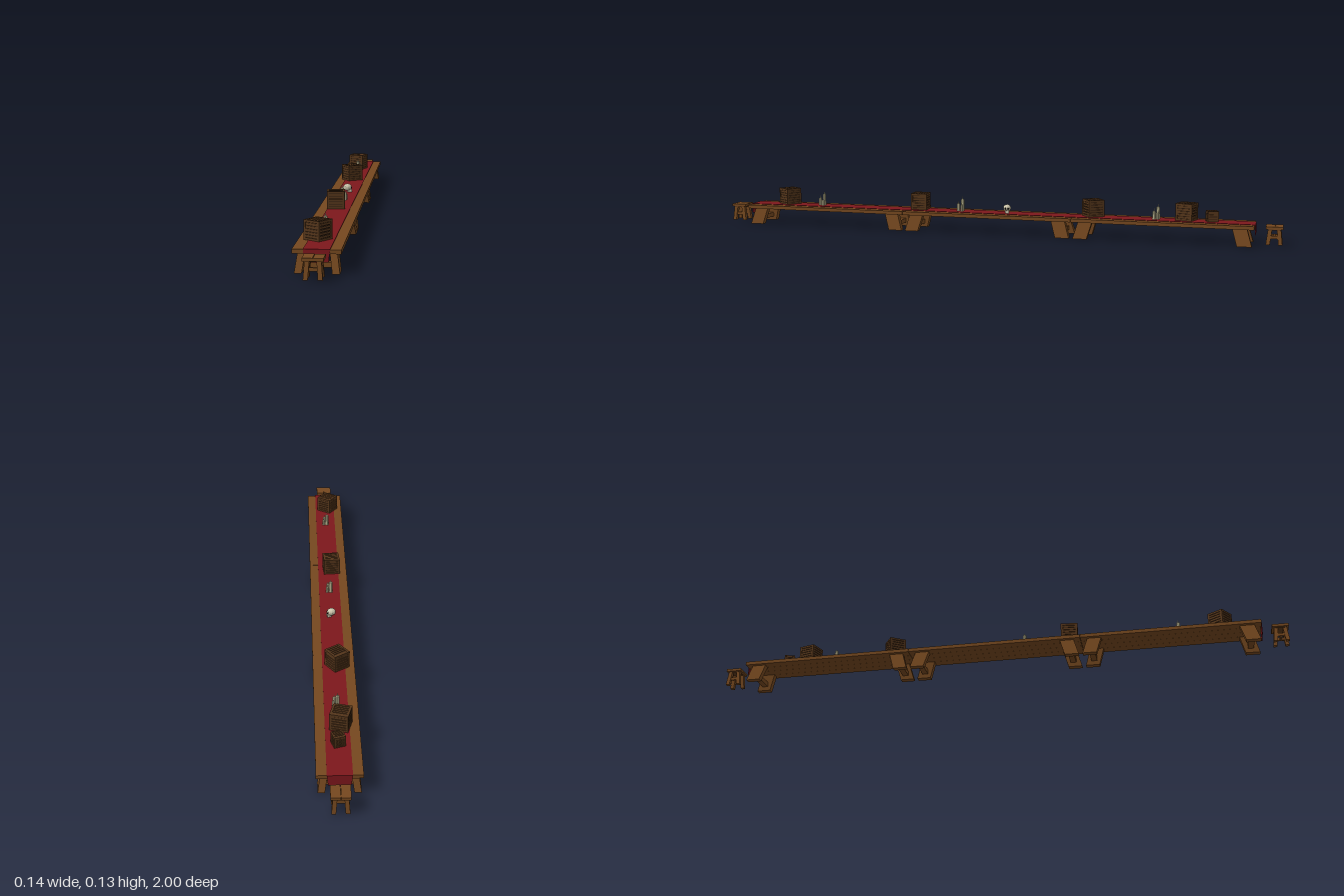
import * as THREE from 'three';

const mat = (color) => new THREE.MeshStandardMaterial({ color, flatShading: true });
const WOOD = mat(0x75481f), DARK = mat(0x5a3719), CRATE = mat(0x54351a), INNER = mat(0x2e1c0e);
const CLOTH = mat(0x7d171c), WAX = mat(0xd9d2a8), BONE = mat(0xcfc8ae), BLACK = mat(0x1c1712);

const TOP = 0.069; // height of the table surface

function add(parent, name, geometry, material, x = 0, y = 0, z = 0) {
  const mesh = new THREE.Mesh(geometry, material);
  mesh.name = name;
  mesh.position.set(x, y, z);
  parent.add(mesh);
  return mesh;
}

const box = (parent, name, material, w, h, d, x, y, z) =>
  add(parent, name, new THREE.BoxGeometry(w, h, d), material, x, y, z);

function group(parent, name, x = 0, y = 0, z = 0, turn = 0) {
  const g = new THREE.Group();
  g.name = name;
  g.position.set(x, y, z);
  g.rotation.y = turn;
  parent.add(g);
  return g;
}

// Post with level ends whose foot is shifted sideways
function splayedLeg(parent, w, h, d, x, z, dx, dz, y0 = 0) {
  const geo = new THREE.BoxGeometry(w, h, d);
  const p = geo.attributes.position;
  for (let i = 0; i < p.count; i++) {
    if (p.getY(i) < 0) p.setXYZ(i, p.getX(i) + dx, p.getY(i), p.getZ(i) + dz);
  }
  geo.computeVertexNormals();
  add(parent, 'leg', geo, WOOD, x, y0 + h / 2, z);
}

function table(parent, z) {
  const g = group(parent, 'table', 0, 0, z);
  // Planked top
  box(g, 'tabletop', DARK, 0.132, 0.010, 0.604, 0, 0.063, 0);
  for (const x of [-0.051, -0.017, 0.017, 0.051]) {
    box(g, 'plank', WOOD, 0.0335, 0.012, 0.606, x, TOP - 0.006, 0);
  }
  for (const s of [-1, 1]) {
    for (const m of [-1, 1]) {
      splayedLeg(g, 0.021, 0.058, 0.048, m * 0.044, s * 0.256, m * 0.0085, s * 0.017);
    }
    box(g, 'stretcher', WOOD, 0.088, 0.015, 0.02, 0, 0.0215, s * 0.267);
  }
}

function stool(parent, z) {
  const g = group(parent, 'stool', 0, 0.005, z);
  for (const m of [-1, 1]) {
    box(g, 'seatPlank', WOOD, 0.0285, 0.009, 0.055, m * 0.0148, 0.0555, 0);
    for (const s of [-1, 1]) {
      splayedLeg(g, 0.013, 0.052, 0.013, m * 0.016, s * 0.014, m * 0.004, s * 0.006);
    }
    box(g, 'sideStretcher', WOOD, 0.007, 0.01, 0.03, m * 0.018, 0.024, 0);
  }
  box(g, 'middleStretcher', WOOD, 0.036, 0.01, 0.007, 0, 0.024, 0);
  box(g, 'seatBatten', DARK, 0.05, 0.004, 0.04, 0, 0.05, 0);
}

function crate(parent, x, z, size, turn) {
  const g = group(parent, 'crate', x, TOP + 0.001 + size / 2, z, turn);
  const beam = size * 0.12, edge = (size - beam) / 2, span = size - 2 * beam;
  box(g, 'core', INNER, size * 0.88, size * 0.88, size * 0.88, 0, 0, 0);
  // Frame along the twelve edges
  for (const a of [-edge, edge]) {
    for (const b of [-edge, edge]) {
      box(g, 'post', CRATE, beam, size, beam, a, 0, b);
      box(g, 'railX', CRATE, span, beam, beam, 0, a, b);
      box(g, 'railZ', CRATE, beam, beam, span, a, b, 0);
    }
  }
  // Slats on every side, lid and base
  const off = size * 0.455, thick = size * 0.05, pitch = span / 5;
  for (let i = -2; i <= 2; i++) {
    for (const s of [-1, 1]) {
      box(g, 'slat', CRATE, span, pitch * 0.72, thick, 0, i * pitch, s * off);
      box(g, 'slat', CRATE, thick, pitch * 0.72, span, s * off, i * pitch, 0);
      box(g, 'slat', CRATE, span, thick, pitch * 0.72, 0, s * off, i * pitch);
    }
  }
}

function candles(parent, z) {
  const g = group(parent, 'candles', 0, TOP + 0.001, z);
  const set = [[-0.005, -0.005, 0.041, 0.0065], [0.005, 0.007, 0.027, 0.006], [0.008, -0.006, 0.02, 0.005]];
  for (const [x, dz, h, r] of set) {
    add(g, 'candle', new THREE.CylinderGeometry(r * 0.9, r, h, 8), WAX, x, h / 2, dz);
    add(g, 'wick', new THREE.ConeGeometry(0.0022, 0.011, 6), WAX, x, h + 0.0055, dz);
  }
}

function skull(parent, z) {
  const g = group(parent, 'skull', 0, TOP + 0.001, z, 0.2);
  add(g, 'cranium', new THREE.SphereGeometry(0.0135, 12, 8), BONE, -0.002, 0.0175, 0).scale.set(1.15, 0.95, 1);
  box(g, 'jaw', BONE, 0.014, 0.011, 0.014, 0.006, 0.0055, 0);
  for (const s of [-1, 1]) {
    add(g, 'eyeSocket', new THREE.SphereGeometry(0.0035, 8, 6), BLACK, 0.0105, 0.0165, s * 0.005);
  }
  add(g, 'noseHole', new THREE.ConeGeometry(0.002, 0.004, 4), BLACK, 0.0125, 0.011, 0);
}

function runner(parent) {
  const g = group(parent, 'tableRunner');
  box(g, 'runnerTop', CLOTH, 0.074, 0.002, 1.824, 0, TOP + 0.0005, 0);
  // Tapered flap hanging over each end
  const flap = new THREE.Shape([
    [-0.037, TOP + 0.0015], [-0.033, 0.035], [0, 0.033], [0.033, 0.035], [0.037, TOP + 0.0015],
  ].map(([x, y]) => new THREE.Vector2(x, y)));
  const geo = new THREE.ExtrudeGeometry(flap, { depth: 0.002, bevelEnabled: false });
  for (const s of [-1, 1]) add(g, 'runnerFlap', geo, CLOTH, 0, 0, s * 0.912 - 0.001);
}

export function createModel() {
  const model = new THREE.Group();
  model.name = 'banquetTable';

  for (const z of [-0.607, 0, 0.607]) table(model, z);
  for (const z of [-0.9725, 0.9725]) stool(model, z);
  runner(model);

  // x, z, size, turn of each crate
  const crates = [
    [-0.011, 0.778, 0.058, -0.6], [-0.011, 0.262, 0.058, 0.08], [-0.011, -0.367, 0.058, 0.6],
    [-0.011, -0.685, 0.058, -0.27], [0, -0.77, 0.036, 0.3],
  ];
  for (const c of crates) crate(model, ...c);

  for (const z of [0.642, 0.107, -0.585]) candles(model, z);
  skull(model, -0.063);
  return model;
}
